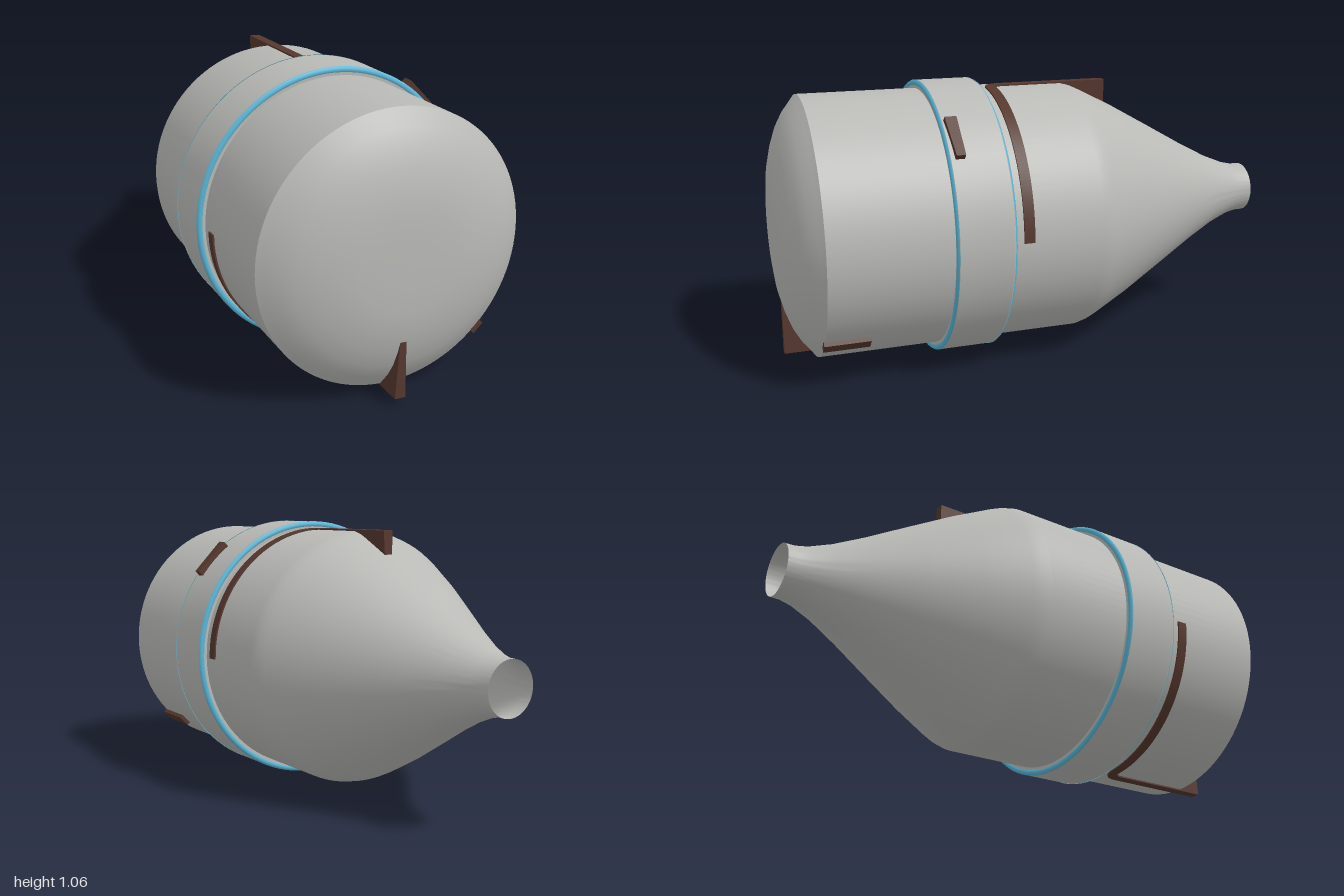
import * as THREE from 'three';
import { toCreasedNormals } from 'three/addons/utils/BufferGeometryUtils.js';

const CY = 0.53; // height of the long axis
const R = 0.497; // body radius

// Body outline as [radius, z], from the open neck to the rounded nose
const outline = [
  [0.1, -1], [0.101, -0.96], [0.112, -0.91], [0.148, -0.82], [0.21, -0.7],
  [0.3, -0.54], [0.4, -0.36], [0.475, -0.21], [0.488, -0.18], [R, -0.145],
  [R, 0.875], [0.475, 0.892], [0.44, 0.92], [0.39, 0.948], [0.33, 0.97],
  [0.26, 0.988], [0.19, 0.997], [0.1, 1], [0, 1],
];

function bodyRadius(z) {
  for (let i = 1; i < outline.length; i++) {
    const [r0, z0] = outline[i - 1], [r1, z1] = outline[i];
    if (z <= z1) return r0 + (r1 - r0) * (z - z0) / (z1 - z0);
  }
  return 0;
}

// Surface of revolution about the z axis
function turned(points, crease) {
  const pts = points.map(([r, z]) => new THREE.Vector2(r, z));
  const g = new THREE.LatheGeometry(pts, 96).rotateX(Math.PI / 2);
  return crease ? toCreasedNormals(g, crease) : g;
}

// L-shaped rail: straight fin along z, rounded bend, quarter hoop round the body
function railGeometry(zEnd, zHoop) {
  const dir = Math.sign(zHoop - zEnd), bend = 0.05, s0 = 0.01, half = 0.02;
  const path = []; // [arc length, z, tangent in s, tangent in z]
  for (let i = 0; i <= 24; i++) {
    path.push([s0, zEnd + (zHoop - dir * bend - zEnd) * i / 24, 0, dir]);
  }
  for (let i = 1; i <= 8; i++) {
    const a = i / 8 * Math.PI / 2;
    path.push([s0 + bend * (1 - Math.cos(a)), zHoop - dir * bend * (1 - Math.sin(a)),
      Math.sin(a), dir * Math.cos(a)]);
  }
  const sEnd = R * Math.PI / 2, sBend = s0 + bend;
  for (let i = 1; i <= 32; i++) path.push([sBend + (sEnd - sBend) * i / 32, zHoop, 1, 0]);

  const pos = [], idx = [];
  for (const [s, z, ts, tz] of path) {
    const inner = Math.min(R, bodyRadius(z)) - 0.006;
    for (const [side, r] of [[-1, inner], [1, inner], [1, 0.503], [-1, 0.503]]) {
      const a = (s - tz * half * side) / R;
      pos.push(r * Math.sin(a), r * Math.cos(a), z + ts * half * side);
    }
  }
  const quad = (a, b, c, d) => idx.push(a, b, c, a, c, d);
  const n = path.length - 1;
  for (let i = 0; i < n; i++) {
    for (let k = 0; k < 4; k++) {
      const a = i * 4 + k, b = i * 4 + (k + 1) % 4;
      quad(a, a + 4, b + 4, b);
    }
  }
  quad(0, 1, 2, 3);
  quad(n * 4 + 3, n * 4 + 2, n * 4 + 1, n * 4);
  const g = new THREE.BufferGeometry();
  g.setAttribute('position', new THREE.Float32BufferAttribute(pos, 3));
  g.setIndex(idx);
  g.computeVertexNormals();
  return toCreasedNormals(g, 0.6);
}

export function createModel() {
  const grey = new THREE.MeshStandardMaterial({ color: 0xb9b9b6, side: THREE.DoubleSide });
  grey.name = 'light grey';
  const blue = new THREE.MeshStandardMaterial({ color: 0x5ab6d6, side: THREE.DoubleSide });
  blue.name = 'sky blue';
  const brown = new THREE.MeshStandardMaterial({ color: 0x55372d, side: THREE.DoubleSide });
  brown.name = 'dark brown';

  const model = new THREE.Group();
  model.name = 'capsule';
  const body = new THREE.Group();
  body.name = 'assembly';
  body.position.y = CY;
  model.add(body);

  const add = (name, geometry, material) => {
    const mesh = new THREE.Mesh(geometry, material);
    mesh.name = name;
    body.add(mesh);
    return mesh;
  };

  // Hollow shell with a funnel neck at the back and a rounded nose
  add('shell', turned(outline, 0.5), grey);

  // Raised collar
  add('collar', turned([
    [0.49, 0.207], [0.507, 0.207], [0.522, 0.206], [0.528, 0.214],
    [0.528, 0.416], [0.522, 0.424], [0.507, 0.423], [0.49, 0.423],
  ], 0.5), grey);

  // Coloured trim on both ends of the collar
  add('frontTrim', turned([
    [0.529, 0.418], [0.526, 0.423], [0.519, 0.427], [0.511, 0.426], [0.507, 0.422],
  ]), blue);
  add('backTrim', turned([
    [0.507, 0.208], [0.511, 0.204], [0.519, 0.203], [0.526, 0.207], [0.529, 0.212],
  ]), blue);

  // Guide rails: one on top running back, one underneath running forward
  add('topRail', railGeometry(-0.335, 0.15), brown);
  add('bottomRail', railGeometry(0.98, 0.49), brown).rotation.z = Math.PI;

  // Tapered latch on the collar, upper left
  const latch = new THREE.Shape();
  latch.moveTo(-0.083, -0.022);
  latch.lineTo(0.083, -0.022);
  latch.lineTo(0.083, 0.012);
  latch.lineTo(-0.083, 0.022);
  latch.closePath();
  const latchGeo = new THREE.ExtrudeGeometry(latch, { depth: 0.03, bevelEnabled: false });
  latchGeo.rotateX(Math.PI / 2); // shape y becomes z, thickness points inward
  latchGeo.translate(0, 0.546, 0.388);
  add('latch', latchGeo, brown).rotation.z = -Math.PI / 4;

  // Small lug on the lower left of the nose section
  const lug = new THREE.BoxGeometry(0.05, 0.028, 0.17);
  lug.translate(0, 0.498, 0.795);
  add('lug', lug, brown).rotation.z = -Math.PI * 0.75;

  return model;
}
